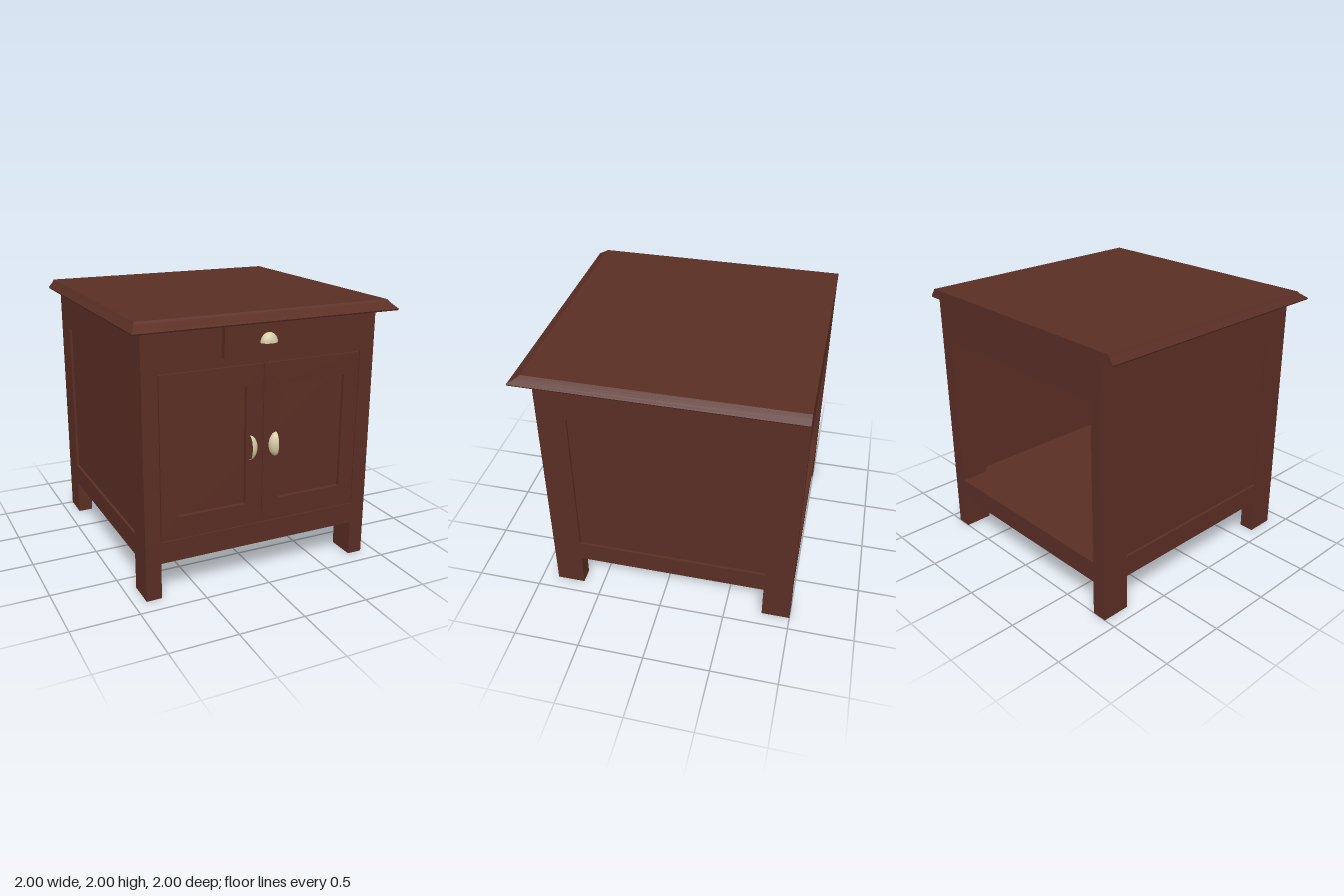
import * as THREE from 'three';

const wood = new THREE.MeshStandardMaterial({ name: 'redBrownWood', color: 0x5a2e24 });
const brass = new THREE.MeshStandardMaterial({ name: 'paleBrass', color: 0xd6caa8, side: THREE.DoubleSide });

// Box given by its minimum and maximum on each axis
function slab(name, x0, x1, y0, y1, z0, z1) {
  const mesh = new THREE.Mesh(new THREE.BoxGeometry(x1 - x0, y1 - y0, z1 - z0), wood);
  mesh.position.set((x0 + x1) / 2, (y0 + y1) / 2, (z0 + z1) / 2);
  mesh.name = name;
  return mesh;
}

// Rectangular frame with a rectangular opening
function frame(name, outer, inner, z0, z1) {
  const path = (p, [x0, x1, y0, y1]) => {
    p.moveTo(x0, y0);
    p.lineTo(x1, y0);
    p.lineTo(x1, y1);
    p.lineTo(x0, y1);
    p.closePath();
    return p;
  };
  const shape = path(new THREE.Shape(), outer);
  shape.holes.push(path(new THREE.Path(), inner));
  const geometry = new THREE.ExtrudeGeometry(shape, { depth: z1 - z0, bevelEnabled: false });
  const mesh = new THREE.Mesh(geometry, wood);
  mesh.position.z = z0;
  mesh.name = name;
  return mesh;
}

// Table top: moulded on the front and both sides, flat at the back
function tableTop() {
  const levels = [[1.93, 0.995, 0.995], [1.94, 1, 1], [1.955, 0.988, 0.978], [1.975, 0.972, 0.945],
    [1.985, 0.965, 0.93], [2, 0.955, 0.915]];
  const rings = levels.map(([y, x, z]) => [[-x, y, z], [x, y, z], [x, y, -1], [-x, y, -1]]);
  const points = [];
  const quad = (a, b, c, d) => points.push(...a, ...b, ...c, ...a, ...c, ...d);
  for (let k = 0; k < rings.length - 1; k++) {
    const lower = rings[k], upper = rings[k + 1];
    for (let i = 0; i < 4; i++) {
      const j = (i + 1) % 4;
      quad(lower[i], lower[j], upper[j], upper[i]);
    }
  }
  quad(...rings[rings.length - 1]);
  quad(...[...rings[0]].reverse());
  const geometry = new THREE.BufferGeometry();
  geometry.setAttribute('position', new THREE.Float32BufferAttribute(points, 3));
  geometry.computeVertexNormals();
  const mesh = new THREE.Mesh(geometry, wood);
  mesh.name = 'tableTop';
  return mesh;
}

// Cup pull: quarter of an ellipsoid, open on its flat side
function cupPull(name, halfWidth, height, depth, x, y, z, turn) {
  const geometry = new THREE.SphereGeometry(1, 32, 12, 0, Math.PI, 0, Math.PI / 2);
  geometry.scale(halfWidth, height, depth);
  const mesh = new THREE.Mesh(geometry, brass);
  mesh.position.set(x, y, z);
  mesh.rotation.z = turn;
  mesh.name = name;
  return mesh;
}

export function createModel() {
  const model = new THREE.Group();
  model.name = 'cabinet';
  model.add(tableTop());

  // Carcass, open at the back
  const body = new THREE.Group();
  body.name = 'body';
  body.position.x = -0.005;
  model.add(body);
  body.add(slab('upperCase', -0.9, 0.9, 1.63, 1.93, -1, 0.87));
  body.add(slab('floor', -0.9, 0.9, 0.27, 0.43, -1, 0.87));
  body.add(slab('frontBacking', -0.785, 0.785, 0.43, 1.63, 0.66, 0.84));

  for (const [side, s] of [['left', 1], ['right', -1]]) {
    const span = (a, b) => (s > 0 ? [a, b] : [-b, -a]);
    const legX = span(0.785, 0.9);
    for (const [place, z0, z1] of [['Front', 0.655, 0.87], ['Back', -1, -0.785]]) {
      body.add(slab(side + place + 'Foot', ...legX, 0, 0.27, z0, z1));
      body.add(slab(side + place + 'Post', ...legX, 0.43, 1.63, z0, z1));
    }
    body.add(slab(side + 'SidePanel', ...span(0.855, 0.88), 0.43, 1.63, -0.785, 0.655));

    // Framed door with a recessed panel and an upright pull
    const doorX = span(0.003, 0.778);
    const openX = span(0.133, 0.658);
    body.add(frame(side + 'Door', [...doorX, 0.436, 1.624], [...openX, 0.6, 1.47], 0.84, 0.87));
    body.add(cupPull(side + 'DoorPull', 0.09, 0.058, 0.05, s * 0.105, 1.025, 0.87, s * Math.PI / 2));
  }

  // Drawer front and its pull
  model.add(slab('drawerFront', -0.33, 0.33, 1.695, 1.92, 0.86, 0.915));
  model.add(cupPull('drawerPull', 0.065, 0.07, 0.048, 0, 1.78, 0.915, 0));
  return model;
}
